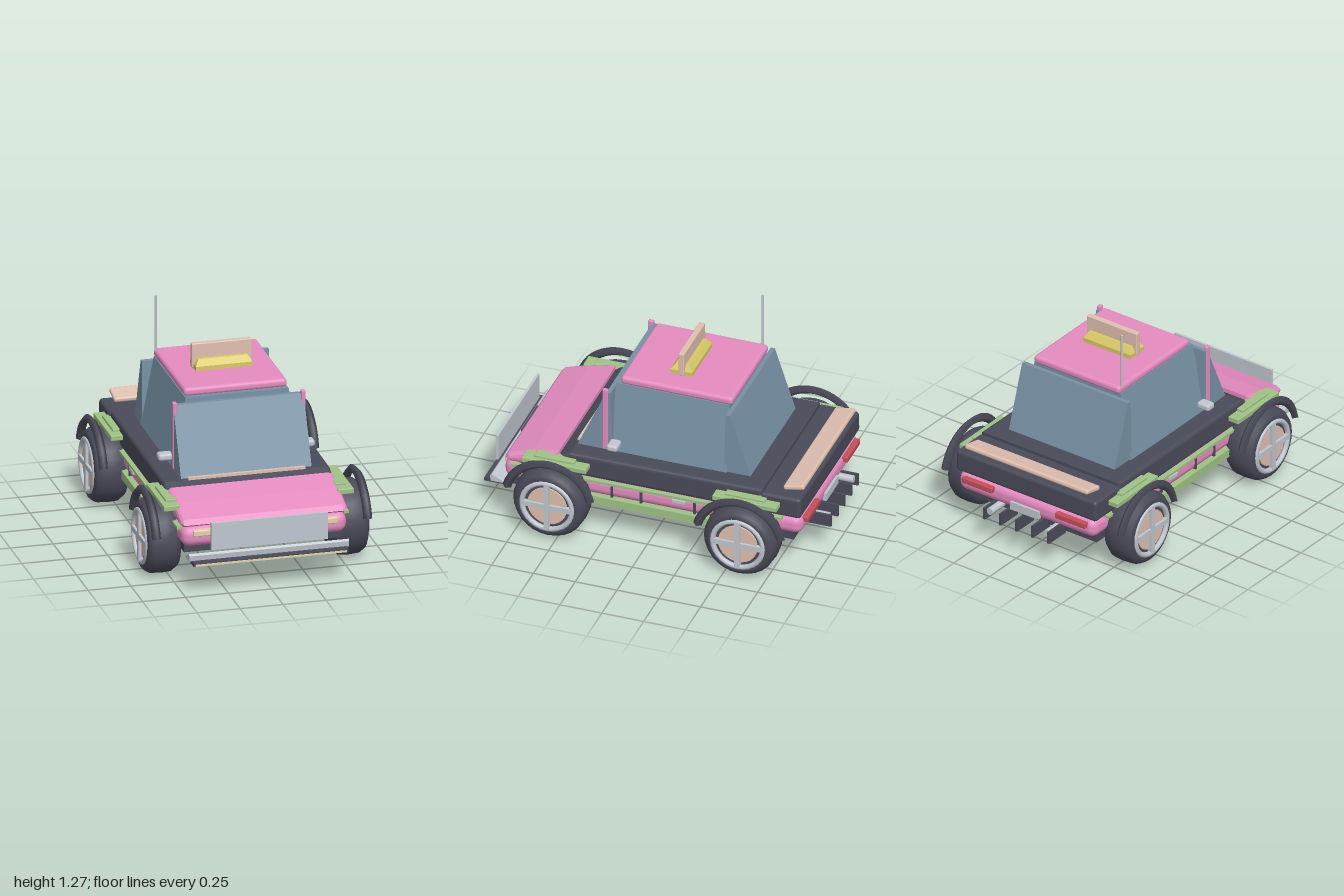
import * as THREE from 'three';
import { RoundedBoxGeometry } from 'three/addons/geometries/RoundedBoxGeometry.js';

const C = {
  pink: 0xe58cc0, dark: 0x4a4b59, glass: 0x7791a4, green: 0x9fc285, tan: 0xe0c0b0,
  cream: 0xe2d4a8, yellow: 0xd9c966, silver: 0xc0c7cf, red: 0xc74d58,
};
const mats = {};
for (const k in C) mats[k] = new THREE.MeshStandardMaterial({ color: C[k], flatShading: k === 'glass' || k === 'yellow' });

function add(parent, name, geo, color) {
  const m = new THREE.Mesh(geo, mats[color]);
  m.name = name;
  parent.add(m);
  return m;
}

// Box given by its extents; r > 0 rounds the edges
function box(parent, name, color, x0, x1, y0, y1, z0, z1, r = 0) {
  const w = x1 - x0, h = y1 - y0, d = z1 - z0;
  const geo = r ? new RoundedBoxGeometry(w, h, d, 3, r) : new THREE.BoxGeometry(w, h, d);
  const m = add(parent, name, geo, color);
  m.position.set((x0 + x1) / 2, (y0 + y1) / 2, (z0 + z1) / 2);
  return m;
}

// Box whose top face is narrowed in x and z
function frustum(parent, name, color, x0, x1, y0, y1, z0, z1, sx, sz) {
  const m = box(parent, name, color, x0, x1, y0, y1, z0, z1);
  const p = m.geometry.attributes.position;
  for (let i = 0; i < p.count; i++) {
    if (p.getY(i) > 0) { p.setX(i, p.getX(i) * sx); p.setZ(i, p.getZ(i) * sz); }
  }
  m.geometry.computeVertexNormals();
  return m;
}

// Side profile of [z, y] points extruded across the car
function sideProfile(parent, name, color, pts, halfWidth, bevel = 0) {
  const shape = new THREE.Shape(pts.map(([z, y]) => new THREE.Vector2(-z, y)));
  const geo = new THREE.ExtrudeGeometry(shape, {
    depth: 2 * (halfWidth - bevel), bevelEnabled: bevel > 0,
    bevelSize: bevel, bevelThickness: bevel, bevelOffset: -bevel, bevelSegments: 3,
  });
  geo.translate(0, 0, -(halfWidth - bevel));
  geo.rotateY(Math.PI / 2);
  return add(parent, name, geo, color);
}

function createWheel() {
  const g = new THREE.Group();
  g.name = 'wheel';
  // tyre
  const pts = [[0.001, -0.1], [0.15, -0.1], [0.19, -0.09], [0.214, -0.055], [0.218, 0], [0.214, 0.06],
    [0.195, 0.09], [0.165, 0.1], [0.155, 0.085], [0.001, 0.085]];
  const tyre = add(g, 'tyre', new THREE.LatheGeometry(pts.map(p => new THREE.Vector2(...p)), 28), 'dark');
  tyre.rotation.z = -Math.PI / 2;
  // rim, hub disc and crossed spokes
  const rim = add(g, 'rim', new THREE.TorusGeometry(0.15, 0.016, 8, 28), 'silver');
  rim.rotation.y = Math.PI / 2;
  rim.position.x = 0.094;
  const hub = add(g, 'hubDisc', new THREE.CylinderGeometry(0.118, 0.118, 0.02, 28), 'tan');
  hub.rotation.z = -Math.PI / 2;
  hub.position.x = 0.085;
  box(g, 'spoke', 'silver', 0.085, 0.11, -0.15, 0.15, -0.016, 0.016);
  box(g, 'spoke', 'silver', 0.085, 0.11, -0.016, 0.016, -0.15, 0.15);
  return g;
}

export function createModel() {
  const car = new THREE.Group();
  car.name = 'car';

  // Lower body
  box(car, 'floor', 'dark', -0.46, 0.46, 0.2, 0.25, -0.86, 0.82);
  box(car, 'lowerBody', 'pink', -0.48, 0.48, 0.24, 0.36, -0.91, 0.87, 0.05);
  box(car, 'bodyCore', 'dark', -0.46, 0.46, 0.33, 0.42, -0.88, 0.78);

  // Upper body, trunk and hood
  sideProfile(car, 'upperBody', 'dark',
    [[0.56, 0.36], [0.56, 0.45], [0.47, 0.495], [-0.68, 0.505], [-0.68, 0.36]], 0.485, 0.02);
  box(car, 'trunk', 'dark', -0.49, 0.49, 0.36, 0.49, -0.91, -0.67, 0.02);
  sideProfile(car, 'hood', 'pink',
    [[0.54, 0.36], [0.83, 0.355], [0.865, 0.375], [0.845, 0.405], [0.7, 0.452], [0.54, 0.485]], 0.485, 0.03);
  box(car, 'cowlStrip', 'tan', -0.34, 0.34, 0.49, 0.508, 0.45, 0.475);
  const spoiler = box(car, 'spoiler', 'tan', -0.43, 0.43, 0.508, 0.538, -0.91, -0.785, 0.012);
  spoiler.rotation.x = 0.2;

  // Cabin glass
  frustum(car, 'cabinGlass', 'glass', -0.38, 0.38, 0.5, 0.905, -0.43, 0.27, 0.79, 0.97);
  sideProfile(car, 'windscreen', 'glass', [[0.46, 0.5], [0.29, 0.88], [0.265, 0.88], [0.25, 0.5]], 0.38);
  sideProfile(car, 'rearWindow', 'glass', [[-0.41, 0.5], [-0.42, 0.88], [-0.445, 0.88], [-0.57, 0.5]], 0.37);

  // Roof, sign and aerial
  box(car, 'roof', 'pink', -0.3, 0.3, 0.9, 0.95, -0.435, 0.235, 0.02);
  box(car, 'signBoard', 'tan', -0.175, 0.175, 0.95, 1.095, -0.1, -0.065, 0.006);
  box(car, 'signBase', 'yellow', -0.165, 0.165, 0.95, 0.975, -0.145, -0.015);
  frustum(car, 'signTop', 'yellow', -0.165, 0.165, 0.975, 1.01, -0.145, -0.015, 0.87, 0.6);
  const aerial = add(car, 'aerial', new THREE.CylinderGeometry(0.007, 0.007, 0.34, 8), 'silver');
  aerial.position.set(-0.295, 1.105, -0.4);

  // Parts mirrored on both sides
  for (const s of [-1, 1]) {
    const sideBox = (name, color, x0, x1, ...rest) =>
      box(car, name, color, Math.min(s * x0, s * x1), Math.max(s * x0, s * x1), ...rest);

    sideBox('pillar', 'pink', 0.362, 0.386, 0.5, 0.9, 0.28, 0.312, 0.006);
    sideBox('mirror', 'silver', 0.37, 0.455, 0.537, 0.578, 0.2, 0.265, 0.015);
    sideBox('sill', 'green', 0.44, 0.5, 0.2, 0.25, -0.42, 0.38);
    sideBox('beltTrim', 'green', 0.47, 0.5, 0.34, 0.355, -0.8, 0.82);
    for (const z of [0.22, 0.045, -0.275]) sideBox('doorSeam', 'dark', 0.46, 0.486, 0.255, 0.34, z - 0.007, z + 0.007);
    sideBox('doorHandle', 'silver', 0.47, 0.498, 0.312, 0.33, -0.225, -0.145);
    sideBox('headlight', 'cream', 0.22, 0.42, 0.31, 0.345, 0.85, 0.882, 0.006);
    sideBox('tailLight', 'red', 0.22, 0.43, 0.31, 0.345, -0.935, -0.9, 0.006);

    const pipe = add(car, 'exhaust', new THREE.CylinderGeometry(0.022, 0.022, 0.13, 14), 'silver');
    pipe.rotation.x = Math.PI / 2;
    pipe.position.set(s * 0.2, 0.225, -0.915);

    for (const z of [0.55, -0.59]) {
      const wheel = createWheel();
      wheel.position.set(s * 0.545, 0.218, z);
      if (s < 0) wheel.rotation.y = Math.PI;
      car.add(wheel);

      // Diamond-section arch above the wheel
      const arch = add(car, 'wheelArch', new THREE.TorusGeometry(0.257, 0.026, 4, 18, Math.PI * 0.84), 'dark');
      arch.geometry.rotateZ(Math.PI * 0.08);
      arch.rotation.y = Math.PI / 2;
      arch.position.set(s * 0.615, 0.222, z);

      sideBox('fender', 'green', 0.46, 0.553, 0.42, 0.452, z - 0.2, z + 0.185, 0.005);
      sideBox('fenderCap', 'green', 0.46, 0.525, 0.44, 0.466, z - 0.12, z + 0.12, 0.005);
    }
  }

  // Front details
  box(car, 'grille', 'dark', -0.13, 0.13, 0.25, 0.345, 0.86, 0.89);
  box(car, 'frontPlate', 'cream', -0.1, 0.1, 0.24, 0.3, 0.87, 0.893);
  box(car, 'frontShield', 'silver', -0.34, 0.34, 0.255, 0.415, 0.95, 0.965);
  box(car, 'splitter', 'dark', -0.45, 0.45, 0.175, 0.195, 0.85, 0.995);
  box(car, 'splitterTrim', 'cream', -0.44, 0.44, 0.177, 0.188, 0.98, 1);
  sideProfile(car, 'frontBar', 'silver', [[0.87, 0.192], [0.87, 0.2], [0.945, 0.236], [0.955, 0.225], [0.95, 0.192]].reverse(), 0.465);

  // Rear details
  box(car, 'rearPlate', 'silver', -0.1, 0.1, 0.25, 0.3, -0.925, -0.9);
  for (let i = -2; i <= 2; i++) {
    box(car, 'diffuserFin', 'dark', i * 0.112 - 0.007, i * 0.112 + 0.007, 0.175, 0.25, -1, -0.84);
  }
  return car;
}
